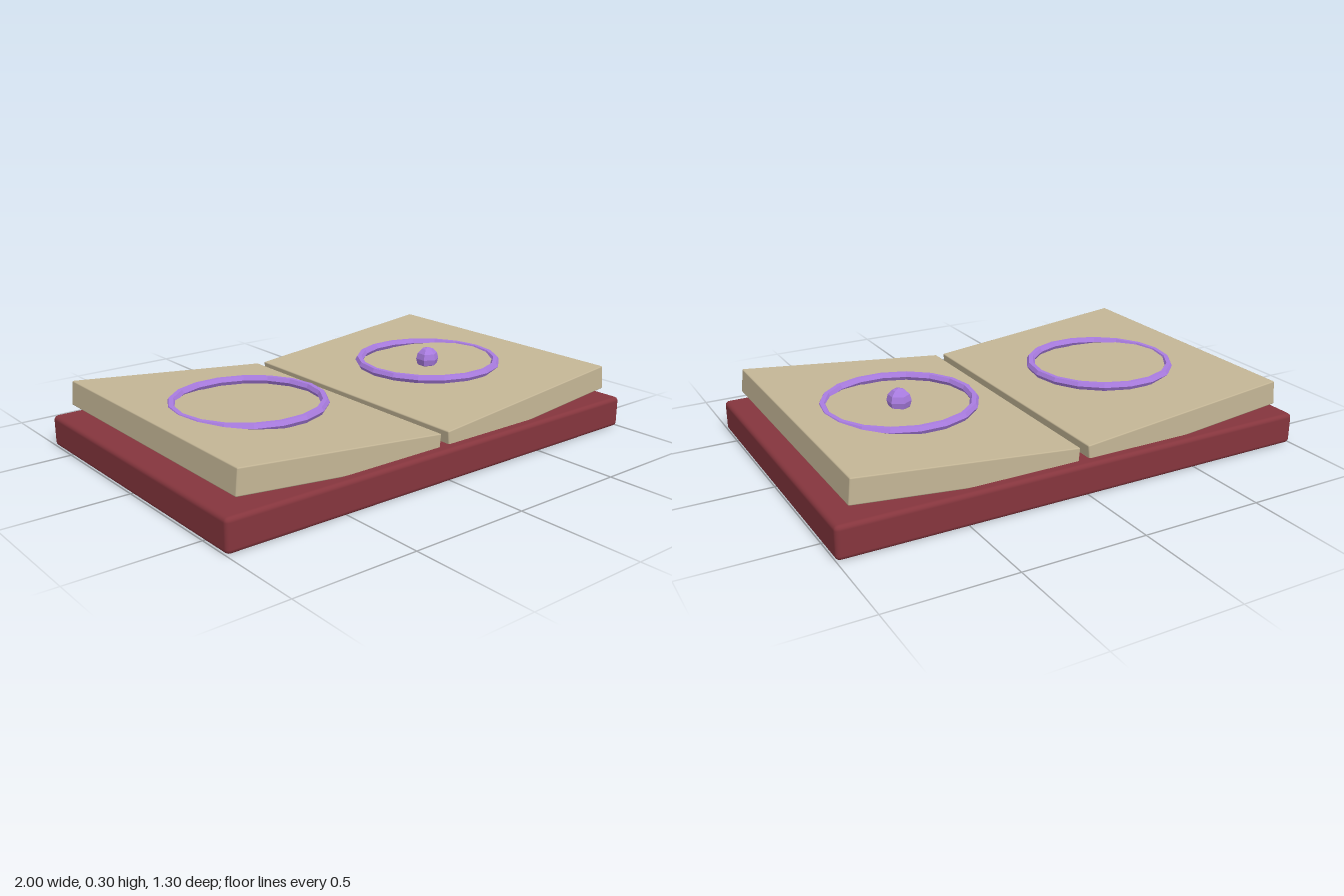
import * as THREE from 'three';
import { RoundedBoxGeometry } from 'three/addons/geometries/RoundedBoxGeometry.js';

const coverMaterial = new THREE.MeshStandardMaterial({ color: 0x85353d });
const pageMaterial = new THREE.MeshStandardMaterial({ color: 0xc4b696 });
const runeMaterial = new THREE.MeshStandardMaterial({ color: 0xa97ce0, flatShading: true });

const PAGE_X = 0.475;
const PAGE_TILT = 0.1;

function addMesh(parent, name, geometry, material, x, y, z) {
  const mesh = new THREE.Mesh(geometry, material);
  mesh.name = name;
  mesh.position.set(x, y, z);
  parent.add(mesh);
  return mesh;
}

export function createModel() {
  const book = new THREE.Group();
  book.name = 'openBook';

  // Cover slab with softened edges
  addMesh(book, 'cover', new RoundedBoxGeometry(2, 0.13, 1.3, 2, 0.018), coverMaterial, 0, 0.065, 0);

  // Page blocks rising outwards, each with a level ring partly sunk in it
  const pageGeometry = new RoundedBoxGeometry(0.91, 0.101, 1.214, 1, 0.005);
  const ringGeometry = new THREE.TorusGeometry(0.3, 0.018, 6, 18).rotateX(Math.PI / 2);
  for (const [side, sign] of [['left', 1], ['right', -1]]) {
    const page = addMesh(book, side + 'Pages', pageGeometry, pageMaterial, sign * PAGE_X, 0.177, 0);
    page.rotation.z = sign * PAGE_TILT;
    const ring = addMesh(book, side + 'Ring', ringGeometry, runeMaterial, sign * PAGE_X, 0.246, 0);
    if (sign < 0) ring.rotation.y = Math.PI;
  }

  // Faceted bead in the middle of the left page
  const beadGeometry = new THREE.SphereGeometry(0.05, 6, 6).rotateY(Math.PI / 6);
  addMesh(book, 'bead', beadGeometry, runeMaterial, PAGE_X, 0.253, 0);

  return book;
}
